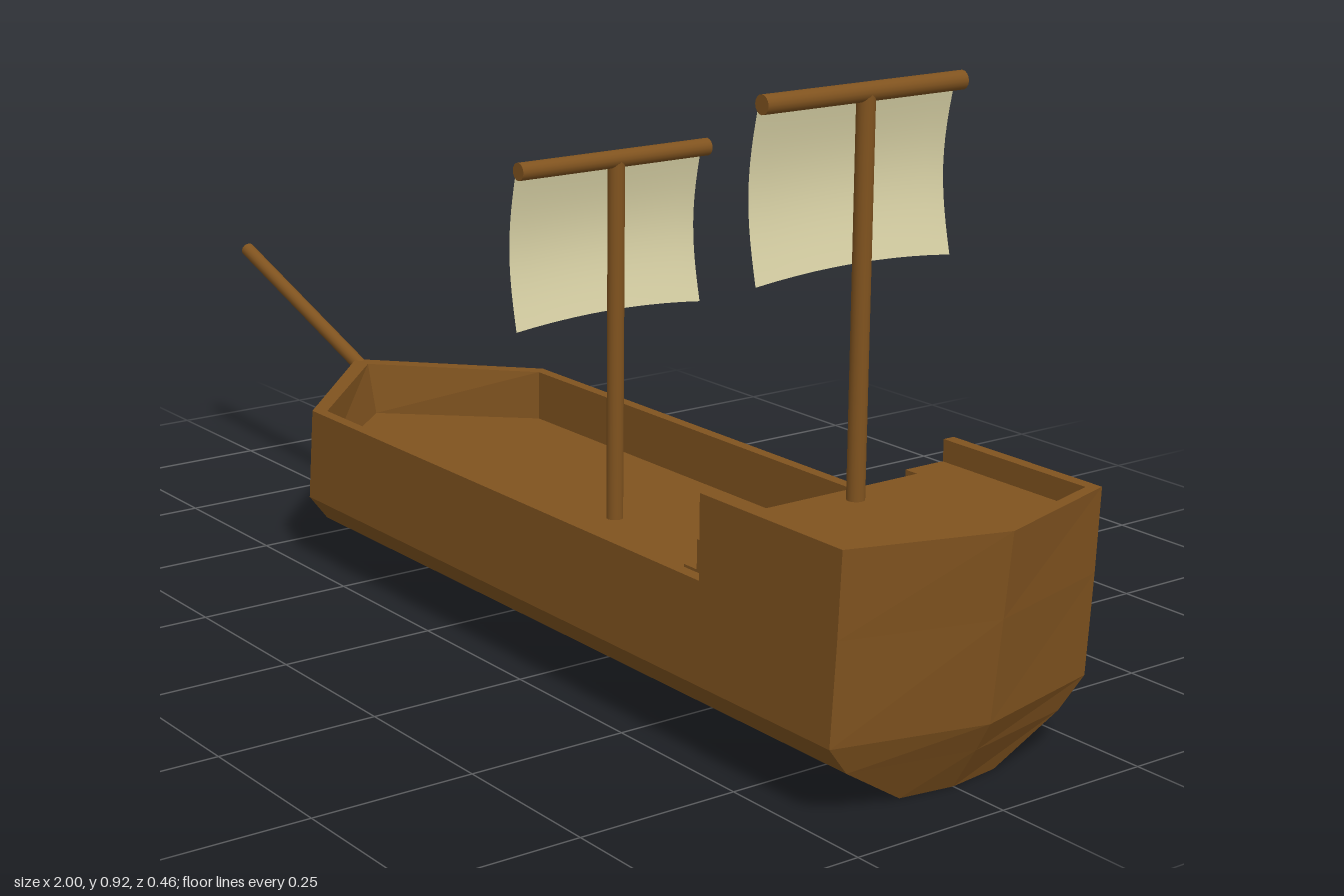
import * as THREE from 'three';

const wood = new THREE.MeshStandardMaterial({ color: 0x80531f });
wood.name = 'brown wood';
const timber = wood.clone();
timber.name = 'flat brown wood';
timber.flatShading = true;
const canvas = new THREE.MeshStandardMaterial({ color: 0xd9d2a6, side: THREE.DoubleSide });
canvas.name = 'cream canvas';

function add(parent, name, geometry, material, x = 0, y = 0, z = 0) {
  const mesh = new THREE.Mesh(geometry, material);
  mesh.name = name;
  mesh.position.set(x, y, z);
  parent.add(mesh);
  return mesh;
}

// Skin a stack of rings and close both ends
function loft(rings) {
  const pos = [];
  const tri = (a, b, c) => pos.push(...a, ...b, ...c);
  for (let r = 0; r < rings.length - 1; r++) {
    const lo = rings[r], hi = rings[r + 1];
    for (let i = 0; i < lo.length; i++) {
      const j = (i + 1) % lo.length;
      tri(lo[i], lo[j], hi[j]);
      tri(lo[i], hi[j], hi[i]);
    }
  }
  const cap = (ring, up) => {
    const flat = ring.map(p => new THREE.Vector2(p[0], -p[2]));
    for (const [a, b, c] of THREE.ShapeUtils.triangulateShape(flat, [])) {
      const ccw = THREE.ShapeUtils.area([flat[a], flat[b], flat[c]]) > 0;
      if (ccw === up) tri(ring[a], ring[b], ring[c]);
      else tri(ring[a], ring[c], ring[b]);
    }
  };
  cap(rings[0], false);
  cap(rings[rings.length - 1], true);
  const g = new THREE.BufferGeometry();
  g.setAttribute('position', new THREE.Float32BufferAttribute(pos, 3));
  g.computeVertexNormals();
  return g;
}

// Ship outline: pointed bow, straight sides, shallow pointed stern
const hullRing = (y, bow, shoulder, half, corner, stern) => [
  [bow, y, 0], [shoulder, y, half], [corner, y, half],
  [stern, y, 0], [corner, y, -half], [shoulder, y, -half],
];
const sternRing = (y, front, half, corner, stern) => [
  [front, y, half], [corner, y, half], [stern, y, 0], [corner, y, -half], [front, y, -half],
];

// Round pole between two points
function pole(parent, name, from, to, radius) {
  const a = new THREE.Vector3(...from), b = new THREE.Vector3(...to);
  const dir = b.clone().sub(a);
  const mesh = add(parent, name, new THREE.CylinderGeometry(radius, radius, dir.length(), 16), wood);
  mesh.position.copy(a).add(b).multiplyScalar(0.5);
  mesh.quaternion.setFromUnitVectors(new THREE.Vector3(0, 1, 0), dir.normalize());
}

// Mast with yard and a sail billowing towards the bow
function rig(parent, name, x, base, yardY) {
  const group = new THREE.Group();
  group.name = name;
  const z = 0.012;
  pole(group, 'mast', [x, base - 0.02, z - 0.003], [x, yardY, z - 0.003], 0.013);
  pole(group, 'yard', [x, yardY, z - 0.173], [x, yardY, z + 0.173], 0.0135);
  const sail = new THREE.PlaneGeometry(0.34, 1, 10, 12);
  const p = sail.attributes.position;
  for (let i = 0; i < p.count; i++) {
    const w = p.getX(i), t = 0.5 - p.getY(i);
    const lift = 0.01 * t * (1 - (w / 0.17) ** 2);
    p.setXYZ(i, x - 0.01 - 0.018 * Math.sin(Math.PI * t), yardY - 0.242 * t + lift, z + w);
  }
  sail.computeVertexNormals();
  add(group, 'sail', sail, canvas);
  parent.add(group);
}

export function createModel() {
  const ship = new THREE.Group();
  ship.name = 'sailingShip';
  const deckY = 0.178, poopY = 0.35;

  // Hull outside, rim, inner bulwark and main deck
  add(ship, 'hull', loft([
    hullRing(0, -0.48, -0.41, 0.085, 0.893, 0.905),
    hullRing(0.065, -0.522, -0.4, 0.19, 0.906, 0.945),
    hullRing(0.11, -0.555, -0.39, 0.228, 0.915, 0.97),
    hullRing(0.26, -0.615, -0.375, 0.228, 0.925, 0.987),
    hullRing(0.26, -0.575, -0.36, 0.209, 0.91, 0.965),
    hullRing(deckY, -0.55, -0.36, 0.209, 0.905, 0.955),
  ]), timber);

  // Raised stern deck and its bulwark
  add(ship, 'sternDeck', loft([
    sternRing(deckY - 0.01, 0.665, 0.218, 0.91, 0.965),
    sternRing(poopY, 0.665, 0.218, 0.918, 0.98),
  ]), timber);
  const wall = (y, corner, stern) => [
    ...sternRing(y, 0.642, 0.228, corner, stern),
    ...sternRing(y, 0.642, 0.209, corner - 0.012, stern - 0.02).reverse(),
  ];
  add(ship, 'sternBulwark', loft([wall(0.26, 0.925, 0.987), wall(0.383, 0.931, 1)]), timber);

  // Cabin door with frame
  const door = new THREE.Group();
  door.name = 'cabinDoor';
  add(door, 'doorPanel', new THREE.BoxGeometry(0.004, 0.12, 0.16), timber, 0.664, deckY + 0.06, 0);
  add(door, 'doorLintel', new THREE.BoxGeometry(0.014, 0.014, 0.18), timber, 0.659, deckY + 0.127, 0);
  for (const s of [-1, 1]) {
    add(door, 'doorPost', new THREE.BoxGeometry(0.014, 0.12, 0.014), timber, 0.659, deckY + 0.06, s * 0.083);
  }
  ship.add(door);

  // Stairs on both sides
  for (const s of [-1, 1]) {
    const stairs = new THREE.Group();
    stairs.name = s > 0 ? 'leftStairs' : 'rightStairs';
    [0.555, 0.585, 0.613, 0.641].forEach((x, i) => {
      const h = 0.043 * (i + 1);
      add(stairs, 'step', new THREE.BoxGeometry(0.668 - x, h, 0.07), timber,
        (0.668 + x) / 2, deckY + h / 2, s * 0.174);
    });
    ship.add(stairs);
  }

  // Bowsprit and rigging
  pole(ship, 'bowsprit', [-0.59, 0.245, -0.003], [-0.996, 0.385, -0.003], 0.012);
  rig(ship, 'foreRig', 0.155, deckY, 0.734);
  rig(ship, 'aftRig', 0.705, poopY, 0.909);
  return ship;
}
